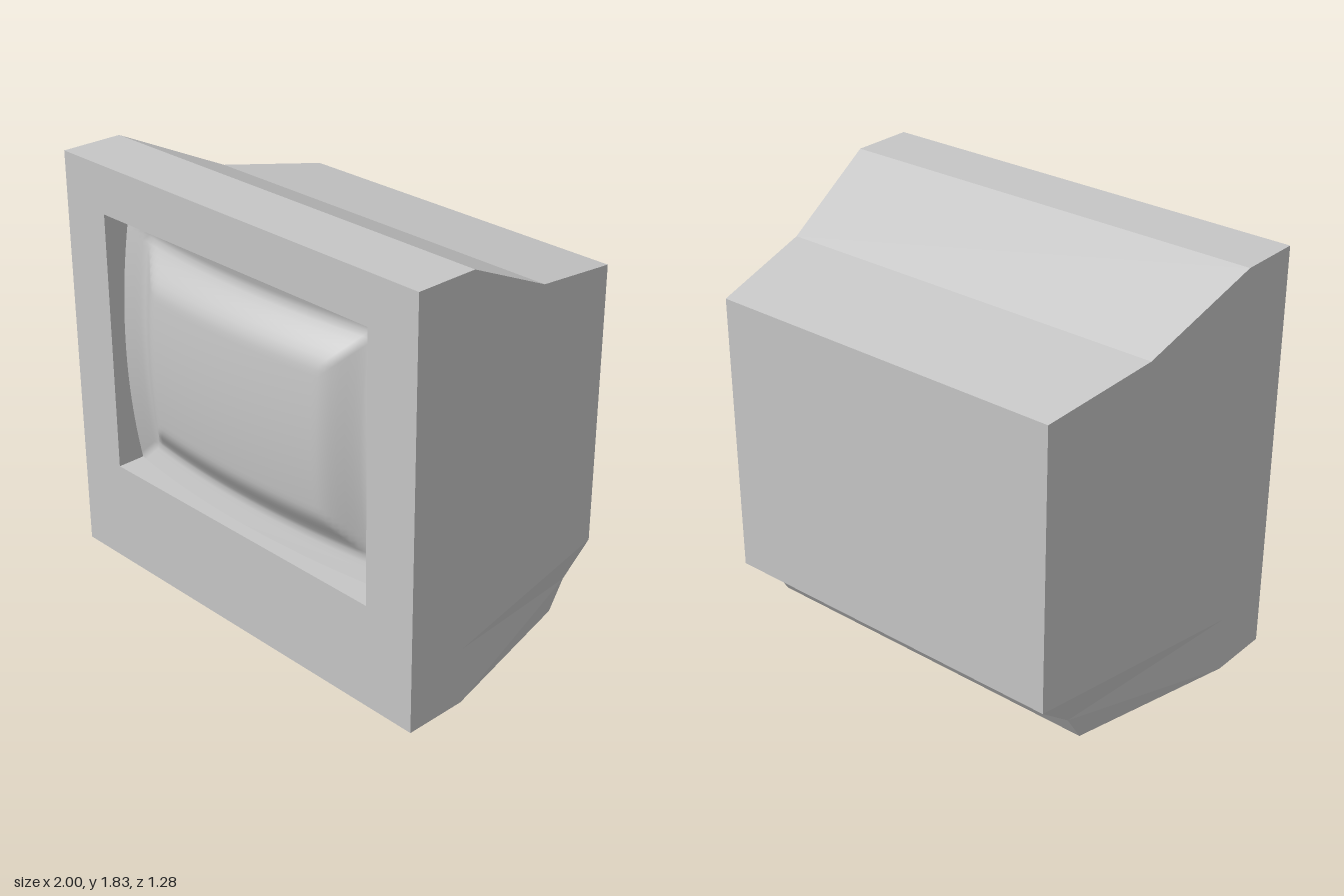
import * as THREE from 'three';

const casingGrey = new THREE.MeshStandardMaterial({ color: 0xc6c6c6 });
casingGrey.name = 'casingGrey';

const FRONT = 0.62, HALF_W = 0.755, HALF_H = 0.58, SCREEN_Y = 1.04;

// Flat-shaded geometry from convex (or first-corner fan) polygons
function polygons(list) {
  const pos = [];
  for (const p of list)
    for (let i = 1; i < p.length - 1; i++) pos.push(...p[0], ...p[i], ...p[i + 1]);
  const g = new THREE.BufferGeometry();
  g.setAttribute('position', new THREE.Float32BufferAttribute(pos, 3));
  g.computeVertexNormals();
  return g;
}

// Casing outline as [half width, y, z], from the top front edge round the back
const OUTLINE = [
  [1, 1.83, FRONT], [1, 1.83, 0.34], [0.9125, 1.6, -0.15], [0.825, 1.51, -0.64],
  [0.825, 0.25, -0.64], [0.825, 0.125, -0.48], [0.825, 0, -0.4], [1, 0, 0.34], [1, 0, FRONT],
  [1, 0.25, 0.34], // extra corner on the side panels
];
const mirror = ([x, y, z]) => [-x, y, z];

function shellGeometry() {
  const faces = [];
  for (let i = 0; i < 8; i++) {
    const a = OUTLINE[i], b = OUTLINE[i + 1];
    faces.push([mirror(a), a, b, mirror(b)]);
  }
  // Side panels: front band, main taper, folded lower corner
  for (const ids of [[1, 0, 8, 7], [2, 1, 9, 4, 3], [9, 5, 4], [9, 7, 5], [7, 6, 5]]) {
    const side = ids.map((i) => OUTLINE[i]);
    faces.push(side, [side[0], ...side.slice(1).reverse()].map(mirror));
  }
  return polygons(faces);
}

// Front face with the screen opening
function bezelGeometry() {
  const rect = (C, x, y0, y1) =>
    new C([[-x, y0], [x, y0], [x, y1], [-x, y1]].map((p) => new THREE.Vector2(...p)));
  const shape = rect(THREE.Shape, 1, 0, 1.83);
  shape.holes.push(rect(THREE.Path, HALF_W, SCREEN_Y - HALF_H, SCREEN_Y + HALF_H));
  return new THREE.ShapeGeometry(shape).translate(0, 0, FRONT);
}

// Walls of the opening
function recessGeometry() {
  const c = [[-1, -1], [1, -1], [1, 1], [-1, 1]].map(([x, y]) => [x * HALF_W, SCREEN_Y + y * HALF_H]);
  const back = 0.48;
  return polygons(c.map((a, i) => {
    const b = c[(i + 1) % 4];
    return [[...a, FRONT], [...b, FRONT], [...b, back], [...a, back]];
  }));
}

// Domed glass that falls away near its rim and turns up into a lip
function screenGeometry() {
  const g = new THREE.PlaneGeometry(HALF_W * 2, HALF_H * 2, 60, 46);
  const p = g.attributes.position;
  for (let i = 0; i < p.count; i++) {
    const x = p.getX(i), y = p.getY(i);
    const edge = Math.min(HALF_W - Math.abs(x), HALF_H - Math.abs(y));
    const dome = 0.64 - 0.065 * (x / HALF_W) ** 2 - 0.058 * (y / HALF_H) ** 2;
    const fall = 0.075 * (1 - THREE.MathUtils.smoothstep(edge, 0.08, 0.28));
    const lip = 0.05 * Math.max(0, 1 - edge / 0.1);
    p.setZ(i, dome - fall + lip);
  }
  g.computeVertexNormals();
  return g.translate(0, SCREEN_Y, 0);
}

export function createModel() {
  const model = new THREE.Group();
  model.name = 'monitor';
  const parts = {
    casing: shellGeometry(),
    bezel: bezelGeometry(),
    screenRecess: recessGeometry(),
    screen: screenGeometry(),
  };
  for (const [name, geometry] of Object.entries(parts)) {
    const mesh = new THREE.Mesh(geometry, casingGrey);
    mesh.name = name;
    model.add(mesh);
  }
  return model;
}
